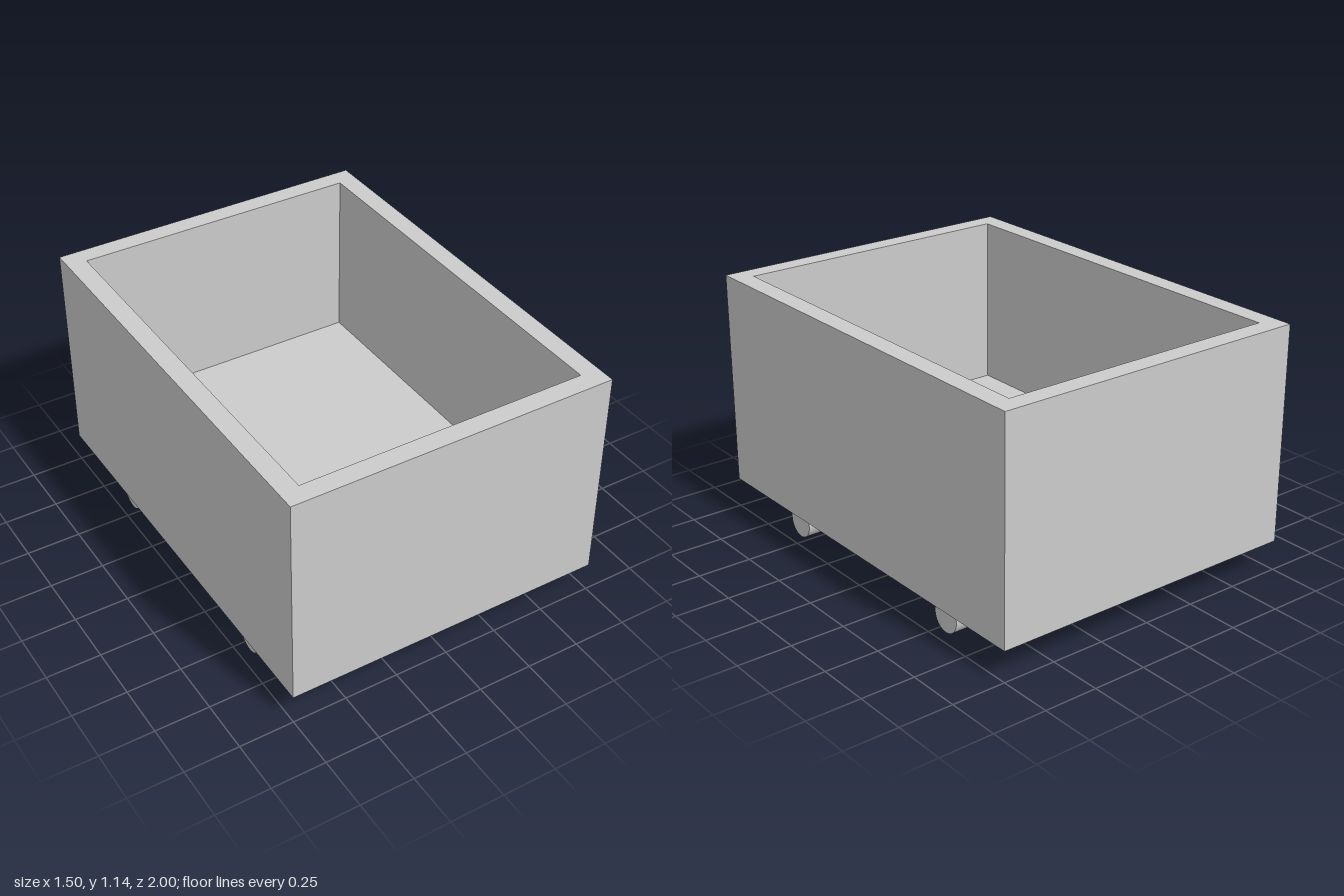
import * as THREE from 'three';

export function createModel() {
  const group = new THREE.Group();
  const material = new THREE.MeshStandardMaterial({ color: 0xcccccc });

  const width = 1.5, length = 2, wall = 0.09;
  const bottom = 0.14, floorTop = 0.343, top = 1.14;

  const rectangle = (target, w, l) => {
    target.moveTo(-w / 2, -l / 2);
    target.lineTo(w / 2, -l / 2);
    target.lineTo(w / 2, l / 2);
    target.lineTo(-w / 2, l / 2);
    target.closePath();
    return target;
  };

  // Extrudes a plan outline upwards from y0 to y1
  const addSlab = (name, shape, y0, y1) => {
    const geometry = new THREE.ExtrudeGeometry(shape, { depth: y1 - y0, bevelEnabled: false });
    geometry.rotateX(-Math.PI / 2);
    const mesh = new THREE.Mesh(geometry, material);
    mesh.name = name;
    mesh.position.y = y0;
    group.add(mesh);
  };

  // Open box: four walls as one ring, with a thick floor set inside
  const ring = rectangle(new THREE.Shape(), width, length);
  ring.holes.push(rectangle(new THREE.Path(), width - 2 * wall, length - 2 * wall));
  addSlab('walls', ring, bottom, top);
  addSlab('floor', rectangle(new THREE.Shape(), width - 2 * wall, length - 2 * wall), bottom, floorTop);

  // Two rollers across the underside
  const radius = 0.0725;
  const rollerGeometry = new THREE.CylinderGeometry(radius, radius, 1.395, 48);
  rollerGeometry.rotateZ(Math.PI / 2);
  for (const [name, z] of [['frontRoller', 0.55], ['backRoller', -0.55]]) {
    const roller = new THREE.Mesh(rollerGeometry, material);
    roller.name = name;
    roller.position.set(0, radius, z);
    group.add(roller);
  }

  return group;
}
